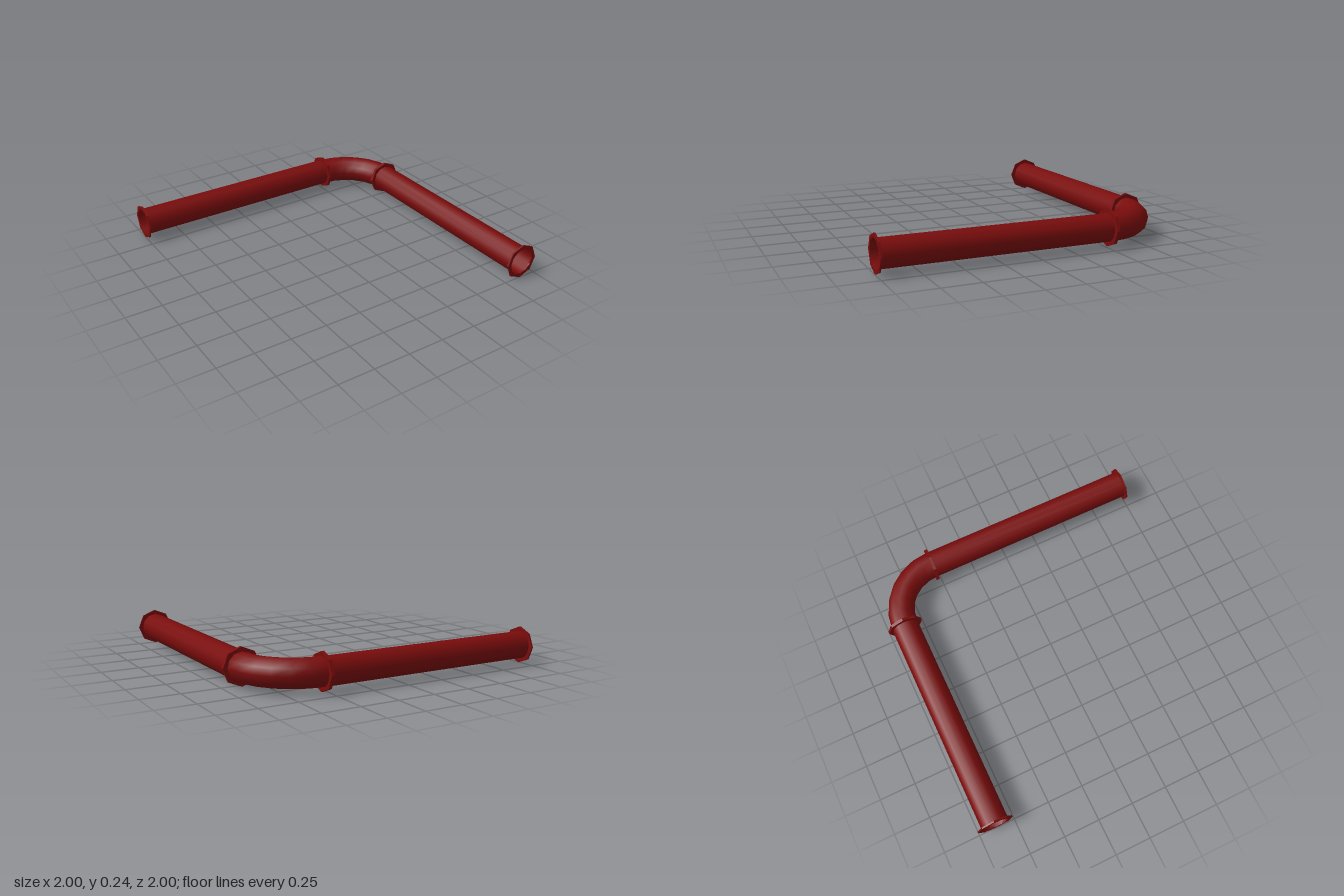
import * as THREE from 'three';

const AXIS = 0.878;    // distance of both pipe runs from the centre
const HEIGHT = 0.122;  // centreline height
const JOINT = 0.525;   // where the straight runs meet the elbow
const PIPE_R = 0.093;
const FLANGE_R = 0.122;
const PLATE = 0.01;    // thickness of one flange plate
const SIDES = 12;

const ring = (Path, radius, sides) => {
  const points = [];
  for (let i = 0; i < sides; i++) {
    const a = (i / sides) * Math.PI * 2;
    points.push(new THREE.Vector2(Math.cos(a) * radius, Math.sin(a) * radius));
  }
  return new Path(points);
};

export function createModel() {
  const model = new THREE.Group();
  model.name = 'pipeElbow';
  const paint = new THREE.MeshStandardMaterial({ color: 0x7a0c0c, side: THREE.DoubleSide });
  paint.name = 'dark red paint';

  const add = (parent, name, geometry) => {
    const mesh = new THREE.Mesh(geometry, paint);
    mesh.name = name;
    parent.add(mesh);
    return mesh;
  };

  // Octagonal flange plate with a round bore, centred on its own z axis
  const outline = ring(THREE.Shape, FLANGE_R, 8);
  outline.holes.push(ring(THREE.Path, PIPE_R, SIDES));
  const plate = new THREE.ExtrudeGeometry(outline, { depth: PLATE, bevelEnabled: false });
  plate.translate(0, 0, -PLATE / 2);

  // Straight open pipe along z, from the elbow joint to the open end
  const length = 1 + JOINT;
  const tube = new THREE.CylinderGeometry(PIPE_R, PIPE_R, length, SIDES, 1, true);
  tube.rotateX(Math.PI / 2);

  const makeRun = (name) => {
    const run = new THREE.Group();
    run.name = name;
    add(run, 'pipe', tube).position.z = (1 - JOINT) / 2;
    add(run, 'endFlange', plate).position.z = 1 - PLATE / 2;
    add(run, 'jointFlange', plate).position.z = -JOINT + PLATE / 2;
    add(run, 'elbowFlange', plate).position.z = -JOINT - PLATE / 2;
    model.add(run);
    return run;
  };

  makeRun('frontRun').position.set(AXIS, HEIGHT, 0);
  const side = makeRun('sideRun');
  side.position.set(0, HEIGHT, -AXIS);
  side.rotation.y = -Math.PI / 2;

  // Quarter-turn elbow joining the two runs
  const elbow = new THREE.TorusGeometry(AXIS - JOINT, PIPE_R, SIDES, 6, Math.PI / 2);
  elbow.rotateX(-Math.PI / 2);
  add(model, 'elbow', elbow).position.set(JOINT, HEIGHT, -JOINT);

  return model;
}
